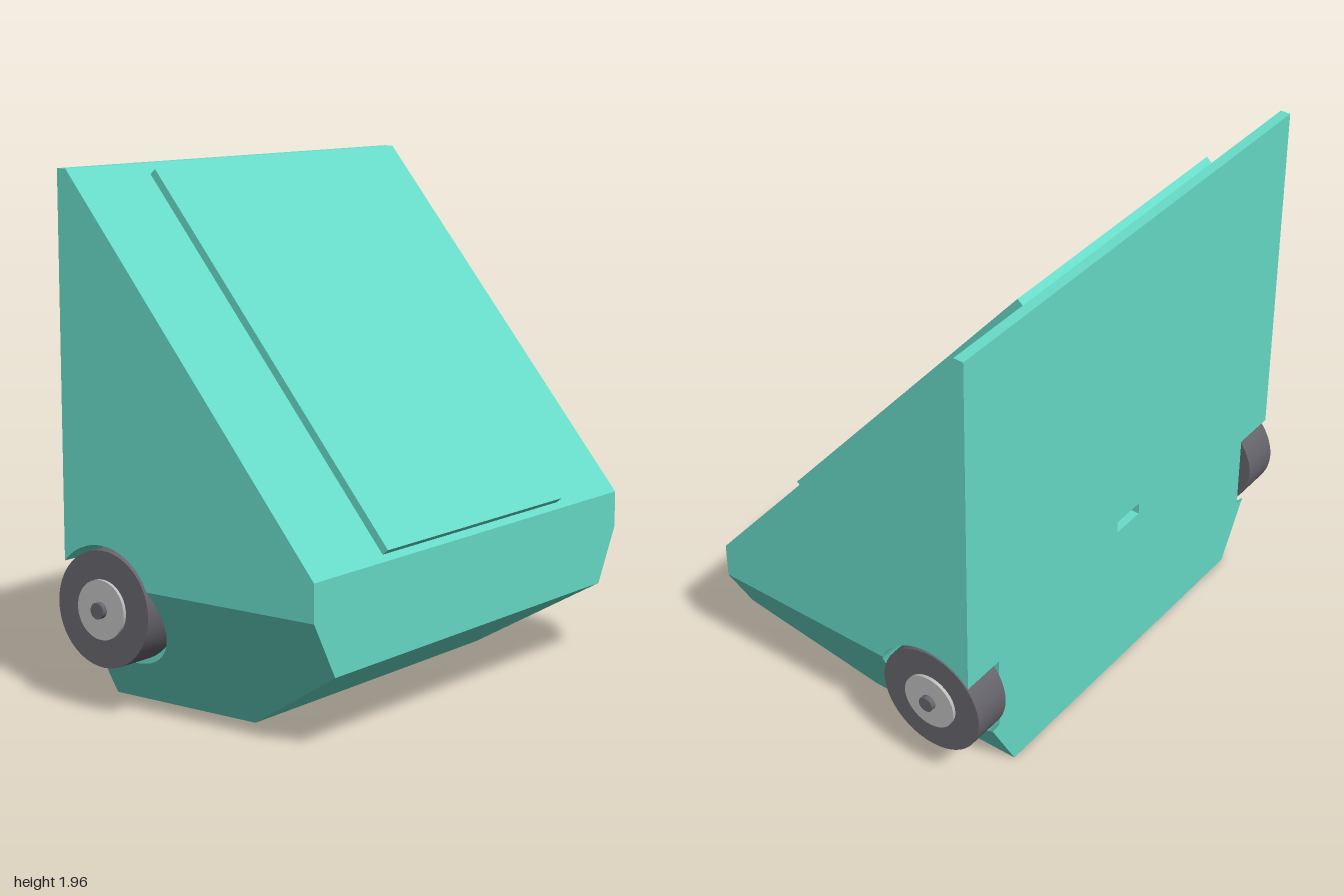
import * as THREE from 'three';

const HALF = 0.975, BEND = 0.49, FOOT = 0.705;   // half width, start of side taper, half width of base
const BACK = -0.55;
const WELL = { z: -0.375, y: 0.395, r: 0.235, x: 0.795 };
const OPEN = Math.acos((BACK - WELL.z) / WELL.r);            // angle where the well meets the back
const SPLIT = Math.asin((BEND - WELL.y) / WELL.r);           // angle where the well meets the taper line
const WELL_DY = WELL.r * Math.sin(OPEN);
const SLOT = { y: 0.685, w: 0.14, h: 0.05, d: 0.07 };

// half width of the shell at a given height
const halfWidth = (y) => Math.min(HALF, FOOT + (HALF - FOOT) * y / BEND);

function flip(geo) {
  const ix = geo.index.array;
  for (let i = 0; i < ix.length; i += 3) [ix[i], ix[i + 1]] = [ix[i + 1], ix[i]];
  geo.computeVertexNormals();
  return geo;
}

// lay a (z, y) shape on one side, with x given by a rule of height
function sideFace(shape, s, xAt) {
  const geo = new THREE.ShapeGeometry(shape, 40);
  const p = geo.attributes.position;
  for (let i = 0; i < p.count; i++) {
    const z = p.getX(i), y = p.getY(i);
    p.setXYZ(i, s * xAt(y), y, z);
  }
  geo.computeVertexNormals();
  return s > 0 ? flip(geo) : geo;
}

function polygon(points) {
  const shape = new THREE.Shape();
  points.forEach(([u, v], i) => (i ? shape.lineTo(u, v) : shape.moveTo(u, v)));
  return shape;
}

// strip of quads between two rows of points
function strip(rowA, rowB, smooth) {
  const pos = [], index = [];
  rowA.forEach((a, i) => {
    pos.push(...a, ...rowB[i]);
    if (i) {
      const k = 2 * i;
      index.push(k - 2, k, k + 1, k - 2, k + 1, k - 1);
    }
  });
  let geo = new THREE.BufferGeometry();
  geo.setAttribute('position', new THREE.Float32BufferAttribute(pos, 3));
  geo.setIndex(index);
  if (!smooth) geo = geo.toNonIndexed();
  geo.computeVertexNormals();
  return geo;
}

export function createModel() {
  const model = new THREE.Group();
  model.name = 'wheeledBin';
  const mat = (name, color) => {
    const m = new THREE.MeshStandardMaterial({ color });
    m.name = name;
    return m;
  };
  const teal = mat('teal', 0x68dcc9);
  const rubber = mat('darkGrey', 0x67656c);
  const metal = mat('lightGrey', 0xbebebe);
  const add = (parent, name, geo, material) => {
    const m = new THREE.Mesh(geo, material);
    m.name = name;
    parent.add(m);
    return m;
  };

  // top edge, sloped front, nose, chin and base
  const body = new THREE.Group();
  body.name = 'body';
  model.add(body);
  const profile = [[BACK, 1.96], [-0.51, 1.96], [0.585, 0.63], [0.585, BEND], [0.585, 0.28], [0.11, 0], [BACK, 0]];
  const row = (s) => profile.map(([z, y]) => [s * halfWidth(y), y, z]);
  add(body, 'frontShell', strip(row(-1), row(1)), teal);

  // back wall, notched at the wheels and cut for the slot
  const lo = WELL.y - WELL_DY, hi = WELL.y + WELL_DY;
  const half = [[FOOT, 0], [halfWidth(lo), lo], [WELL.x, lo], [WELL.x, hi], [HALF, hi], [HALF, 1.96]];
  const back = polygon([...half, ...half.map(([x, y]) => [-x, y]).reverse()]);
  const sw = SLOT.w / 2, sh = SLOT.h / 2;
  back.holes.push(polygon([[-sw, SLOT.y - sh], [-sw, SLOT.y + sh], [sw, SLOT.y + sh], [sw, SLOT.y - sh]]));
  const backGeo = flip(new THREE.ShapeGeometry(back));
  backGeo.translate(0, 0, BACK);
  add(body, 'backWall', backGeo, teal);

  // slot recess: inside of a box without its rear face
  const slotGeo = new THREE.BoxGeometry(SLOT.w, SLOT.h, SLOT.d);
  slotGeo.setIndex(Array.from(slotGeo.index.array).slice(0, 30));
  slotGeo.clearGroups();
  flip(slotGeo).translate(0, SLOT.y, BACK + SLOT.d / 2);
  add(body, 'backSlot', slotGeo, teal);

  for (const s of [1, -1]) {
    const side = s > 0 ? 'left' : 'right';

    // tapered lower side and upright upper side, bitten by the wheel well
    const lower = polygon([[BACK, 0], [0.11, 0], [0.585, 0.28], [0.585, BEND]]);
    lower.absarc(WELL.z, WELL.y, WELL.r, SPLIT, -OPEN, true);
    const upper = polygon([[0.585, BEND], [0.585, 0.63], [-0.51, 1.96], [BACK, 1.96]]);
    upper.absarc(WELL.z, WELL.y, WELL.r, OPEN, SPLIT, true);
    add(body, side + 'LowerSide', sideFace(lower, s, halfWidth), teal);
    add(body, side + 'UpperSide', sideFace(upper, s, halfWidth), teal);

    // wheel well: end wall and curved lining
    const cap = new THREE.Shape();
    cap.absarc(WELL.z, WELL.y, WELL.r, -OPEN, OPEN, false);
    add(body, side + 'WellWall', sideFace(cap, s, () => WELL.x), teal);
    const inner = [], outer = [];
    for (let i = 0; i <= 48; i++) {
      const a = -OPEN + 2 * OPEN * i / 48;
      const y = WELL.y + WELL.r * Math.sin(a), z = WELL.z + WELL.r * Math.cos(a);
      inner.push([s * WELL.x, y, z]);
      outer.push([s * Math.max(WELL.x, halfWidth(y)), y, z]);
    }
    add(body, side + 'WellLining', s > 0 ? strip(inner, outer, true) : strip(outer, inner, true), teal);

    // wheel: tyre, hub and axle end
    const wheel = new THREE.Group();
    wheel.name = side + 'Wheel';
    wheel.position.set(0, WELL.y, WELL.z);
    model.add(wheel);
    const disc = (name, r, x0, x1, material) => {
      const geo = new THREE.CylinderGeometry(r, r, x1 - x0, 48);
      geo.rotateZ(Math.PI / 2).translate(s * (x0 + x1) / 2, 0, 0);
      add(wheel, name, geo, material);
    };
    disc('tyre', 0.215, 0.81, 0.967, rubber);
    disc('hub', 0.11, 0.9, 0.98, metal);
    disc('axle', 0.03, 0.79, 1.0, rubber);
  }

  // lid panel lying on the slope
  const slope = Math.atan2(1.095, 1.33);
  const lid = add(model, 'lidPanel', new THREE.BoxGeometry(1.13, 1.645, 0.04), teal);
  lid.rotation.x = -slope;
  lid.position.set(0, 1.292, 0.052);
  return model;
}
